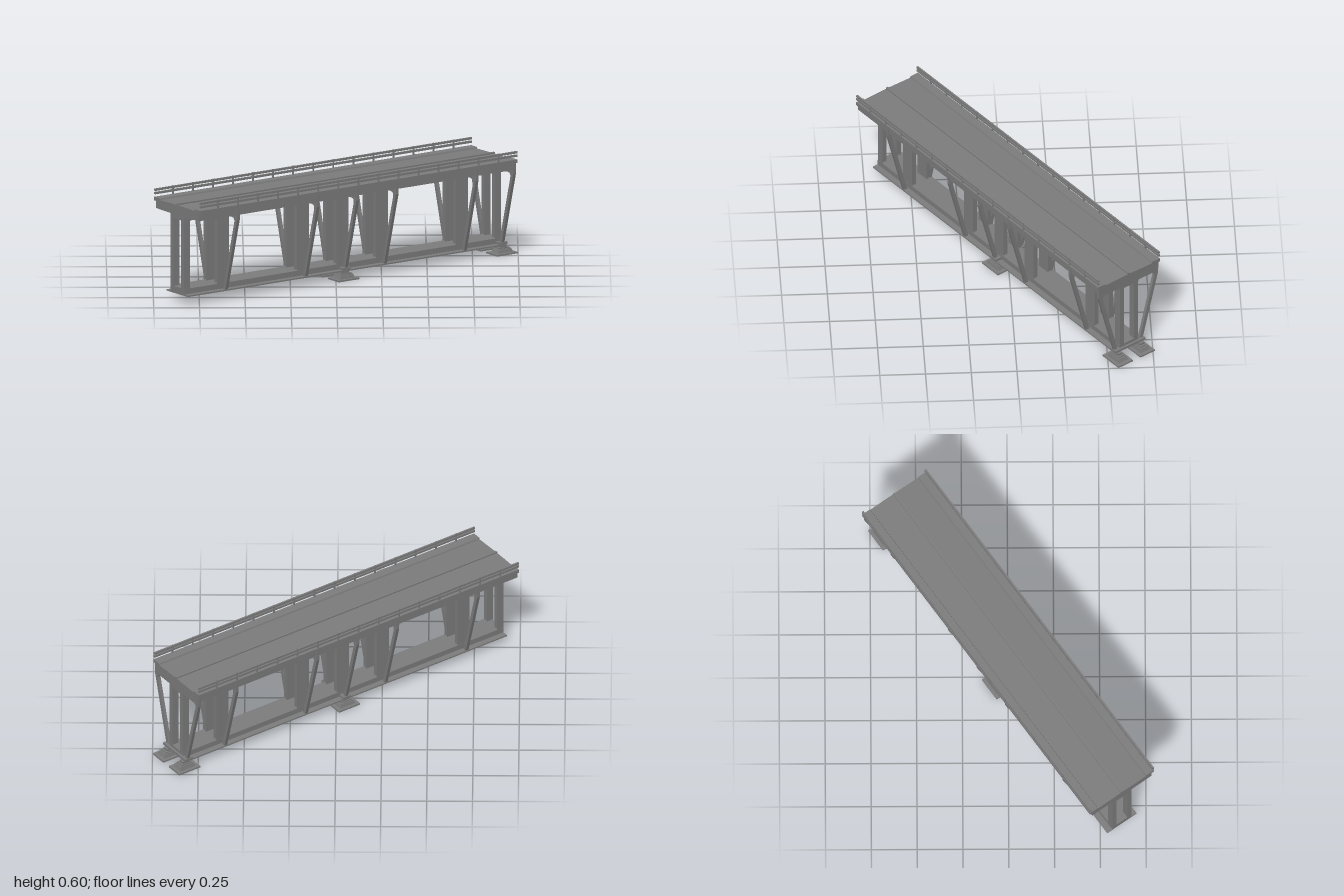
import * as THREE from 'three';

const LEN = 2.135, HALF = LEN / 2;
const mat = new THREE.MeshStandardMaterial({ color: 0x7c7c7c, flatShading: true });

export function createModel() {
  const model = new THREE.Group();
  model.name = 'bridge';
  // everything is built along x, then the whole bridge is turned to its diagonal
  const bridge = new THREE.Group();
  bridge.name = 'bridgeSpan';
  bridge.rotation.y = THREE.MathUtils.degToRad(35.4);
  model.add(bridge);

  const add = (name, geo, x = 0, y = 0, z = 0) => {
    const m = new THREE.Mesh(geo, mat);
    m.name = name;
    m.position.set(x, y, z);
    bridge.add(m);
    return m;
  };
  // box given by its bottom and top heights
  const box = (name, w, y0, y1, d, x = 0, z = 0) =>
    add(name, new THREE.BoxGeometry(w, y1 - y0, d), x, (y0 + y1) / 2, z);
  // cross-section (across, up) swept along the span
  const sweep = (shape, length) =>
    new THREE.ExtrudeGeometry(shape, { depth: length, bevelEnabled: false, curveSegments: 6 })
      .translate(0, 0, -length / 2).rotateY(Math.PI / 2);

  // road deck with raised kerbs, thin outer lips and a shallow crown
  const half = [[0.065, 0.49], [0.2, 0.492], [0.2, 0.532], [0.215, 0.532], [0.215, 0.552],
    [0.163, 0.552], [0.16, 0.543], [0.007, 0.546]];
  const outline = [...half, ...half.map(([z, y]) => [-z, y]).reverse()];
  add('roadDeck', sweep(new THREE.Shape(outline.map(p => new THREE.Vector2(...p))), LEN));
  box('medianStrip', LEN, 0.54, 0.554, 0.014);

  // central girder: top and bottom chords with a wide sole plate
  box('topChord', LEN, 0.466, 0.49, 0.13);
  box('bottomChord', LEN, 0.055, 0.086, 0.13);
  box('solePlate', LEN, 0.048, 0.056, 0.197);

  // side walls with rounded openings between the posts
  const posts = [-0.804, -0.266, 0, 0.266, 0.804];
  const edges = [-HALF, ...posts, HALF];
  const wall = new THREE.Shape([[-HALF, 0.06], [HALF, 0.06], [HALF, 0.488], [-HALF, 0.488]]
    .map(p => new THREE.Vector2(...p)));
  for (let i = 0; i < edges.length - 1; i++) {
    const a = edges[i] + 0.04, b = edges[i + 1] - 0.04, y0 = 0.084, y1 = 0.468, r = 0.01;
    const hole = new THREE.Path();
    hole.moveTo(a + r, y0);
    hole.lineTo(b - r, y0).quadraticCurveTo(b, y0, b, y0 + r);
    hole.lineTo(b, y1 - r).quadraticCurveTo(b, y1, b - r, y1);
    hole.lineTo(a + r, y1).quadraticCurveTo(a, y1, a, y1 - r);
    hole.lineTo(a, y0 + r).quadraticCurveTo(a, y0, a + r, y0);
    wall.holes.push(hole);
  }
  const wallGeo = new THREE.ExtrudeGeometry(wall, { depth: 0.028, bevelEnabled: false, curveSegments: 4 })
    .translate(0, 0, -0.014);
  for (const s of [1, -1]) add('girderWall', wallGeo, 0, 0, s * 0.05);

  // slanted struts curving into the arms that carry the deck edge
  const strut = new THREE.Shape();
  strut.moveTo(0.074, 0.056);
  strut.lineTo(0.096, 0.056);
  strut.lineTo(0.205, 0.465);
  strut.lineTo(0.207, 0.533);
  strut.lineTo(0.195, 0.533);
  strut.lineTo(0.195, 0.493);
  strut.lineTo(0.06, 0.493);
  strut.lineTo(0.06, 0.474);
  strut.lineTo(0.158, 0.474);
  strut.quadraticCurveTo(0.184, 0.474, 0.178, 0.446);
  const strutGeo = sweep(strut, 0.018);
  for (const x of [...posts, HALF - 0.012]) {
    add('deckStrut', strutGeo, x);
    add('deckStrut', strutGeo, x).rotation.y = Math.PI;
  }

  // railings: two rails and regular uprights on each side
  for (const s of [1, -1]) {
    const z = s * 0.21;
    for (const y of [0.573, 0.592]) box('handRail', LEN, y - 0.006, y + 0.006, 0.01, 0, z);
    for (let i = 0; i < 15; i++) box('railPost', 0.007, 0.55, 0.6, 0.008, -0.945 + i * 0.135, z);
  }

  // footings: pad, sloped block and bearing, in pairs
  const slope = new THREE.CylinderGeometry(Math.SQRT1_2 * 0.84, Math.SQRT1_2, 1, 4)
    .rotateY(Math.PI / 4).scale(0.098, 0.023, 0.066);
  for (const x of [0, 1.065]) {
    box('bearingPlate', 0.05, 0.056, 0.07, 0.21, Math.min(x, HALF - 0.012));
    for (const s of [1, -1]) {
      const z = s * 0.076;
      box('footingPad', 0.14, 0, 0.009, 0.1, x, z);
      add('footingBlock', slope, x, 0.0205, z);
      box('footingCap', 0.068, 0.03, 0.038, 0.044, x, z);
      box('bearing', 0.045, 0.036, 0.05, 0.032, x, z);
    }
  }
  return model;
}
